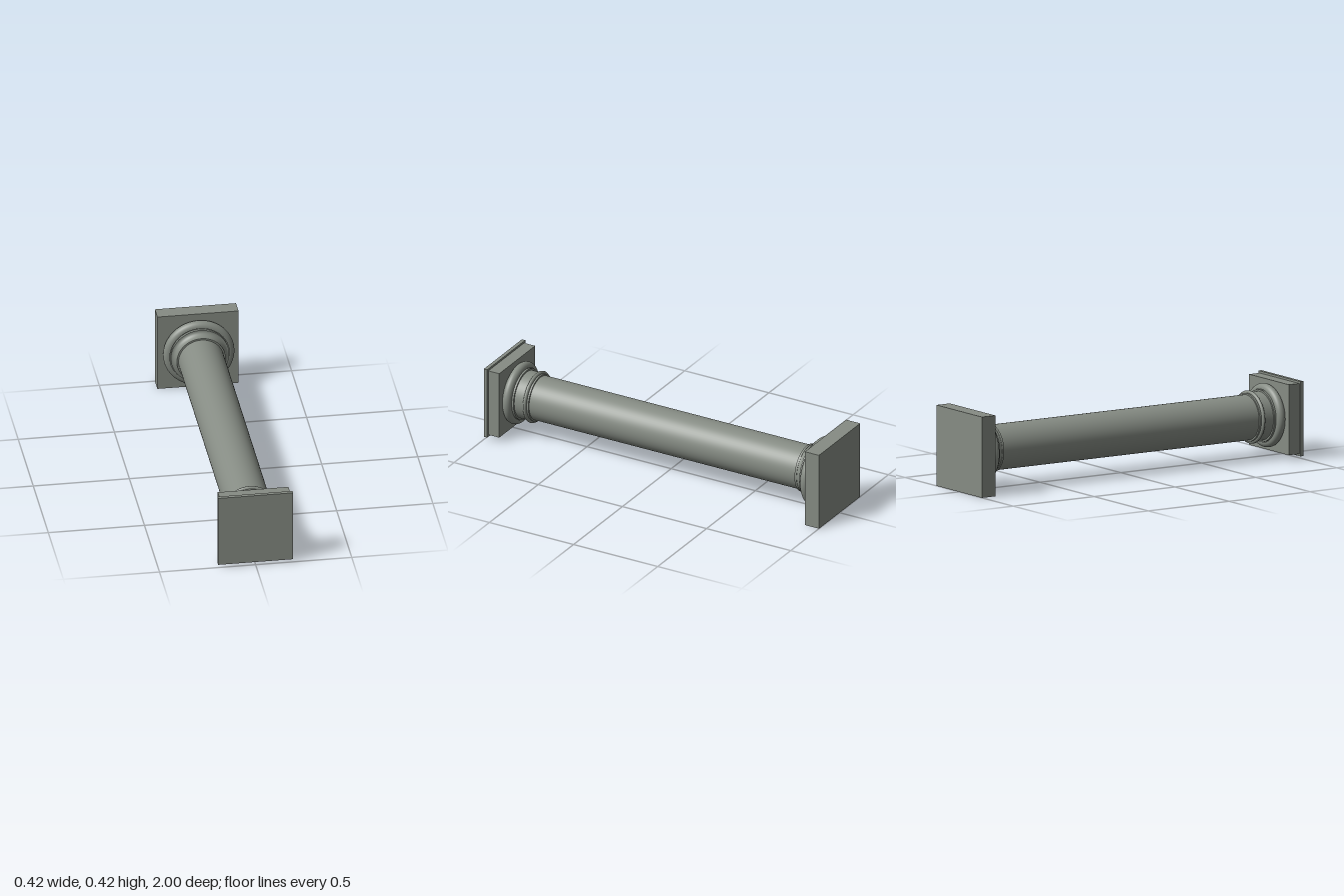
import * as THREE from 'three';

export function createModel() {
  const model = new THREE.Group();
  model.name = 'column';
  const stone = new THREE.MeshStandardMaterial({ color: 0x868c84 });
  stone.name = 'greyStone';
  const axisY = 0.211;

  // square slab between two z positions
  function slab(name, half, z0, z1) {
    const mesh = new THREE.Mesh(new THREE.BoxGeometry(half * 2, half * 2, z1 - z0), stone);
    mesh.position.set(0, axisY, (z0 + z1) / 2);
    mesh.name = name;
    model.add(mesh);
  }

  // turned piece around the lying axis; profile is [radius, z], z rising
  function turned(name, profile) {
    const points = profile.map(([r, z]) => new THREE.Vector2(r, z));
    const mesh = new THREE.Mesh(new THREE.LatheGeometry(points, 64), stone);
    mesh.rotation.x = Math.PI / 2;
    mesh.position.y = axisY;
    mesh.name = name;
    model.add(mesh);
  }

  // rounded or hollow moulding: elliptical arc around (r, z)
  function arc(r, z, radiusR, radiusZ, from, to, steps = 14) {
    return Array.from({ length: steps + 1 }, (_, i) => {
      const a = THREE.MathUtils.degToRad(from + (to - from) * i / steps);
      return [r + radiusR * Math.cos(a), z + radiusZ * Math.sin(a)];
    });
  }

  // straight band with flat rings closing both ends
  function band(name, r, z0, z1, inner = 0.1) {
    turned(name + 'Back', [[inner, z0], [r, z0]]);
    turned(name, [[r, z0], [r, z1]]);
    turned(name + 'Front', [[r, z1], [inner, z1]]);
  }

  // plinth and base mouldings
  slab('plinth', 0.211, -1, -0.917);
  turned('baseTorus', arc(0.155, -0.889, 0.03, 0.028, -90, 90));
  band('baseFillet', 0.152, -0.864, -0.848);
  turned('baseHollow', arc(0.149, -0.813, 0.024, 0.035, 270, 180));
  band('baseRing', 0.127, -0.818, -0.806);

  // shaft
  turned('shaft', [[0.118, -0.83], [0.118, 0.79]]);

  // neck with its bead
  band('neckFillet', 0.126, 0.776, 0.786);
  turned('neckBead', arc(0.126, 0.796, 0.012, 0.01, -90, 90));
  band('neck', 0.127, 0.804, 0.862);
  band('upperFillet', 0.136, 0.859, 0.871);

  // capital
  turned('capitalTorus', arc(0.138, 0.893, 0.028, 0.025, -90, 90));
  slab('abacus', 0.184, 0.915, 0.982);
  slab('abacusRim', 0.195, 0.98, 1);

  return model;
}
